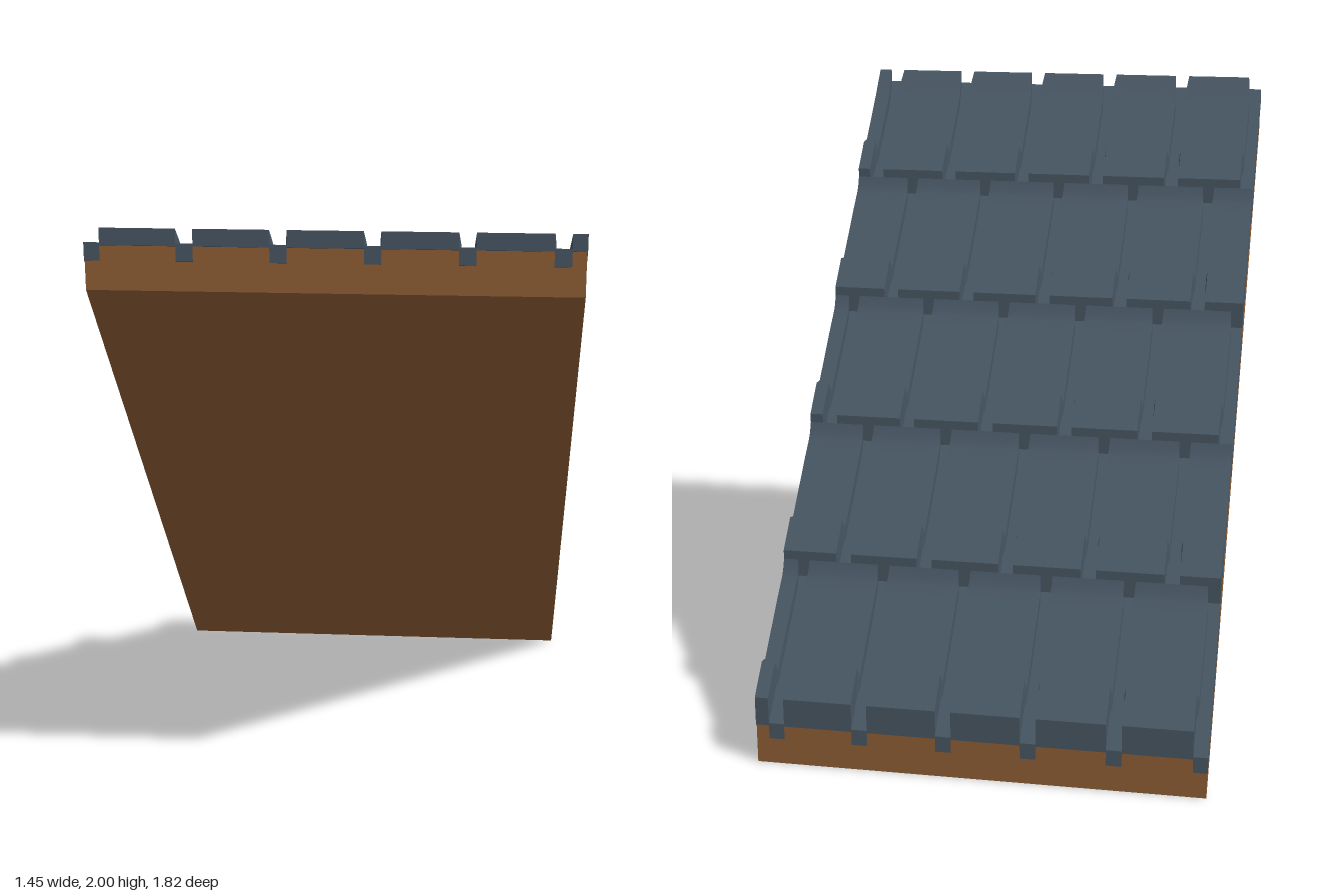
import * as THREE from 'three';
import { toCreasedNormals } from 'three/addons/utils/BufferGeometryUtils.js';

const EDGE = 0.726, HALF = 0.909, ROWS = 5, PITCH = 0.2725;
const ROW = (2 * HALF) / ROWS;

// Moves every vertex by a rule, then leans the part to the 45 degree pitch.
function pitched(geo, rule) {
  const p = geo.attributes.position, v = new THREE.Vector3();
  for (let i = 0; i < p.count; i++) {
    v.fromBufferAttribute(p, i);
    if (rule) rule(v);
    p.setXYZ(i, v.x, v.y + v.z, v.z);
  }
  return toCreasedNormals(geo, 0.45);
}

// Sheared slab between height offsets lo and hi.
function slab(x0, x1, lo, hi, z0, z1) {
  const g = new THREE.BoxGeometry(x1 - x0, hi - lo, z1 - z0);
  g.translate((x0 + x1) / 2, (lo + hi) / 2, (z0 + z1) / 2);
  return pitched(g);
}

// Tile profile from its lower end upwards: [distance, height offset, half gap]
const PROFILE = [
  [0, 1.135, 0.025], [0.086, 1.135, 0.025], [0.098, 1.094, 0.019], [0.28, 1.087, 0.016],
  [0.335, 1.081, 0.016], [0.35, 1.086, 0.018], [ROW, 1.105, 0.02],
];
const TOP_PROFILE = [...PROFILE.slice(0, 4), [0.325, 1.09, 0.02], [ROW, 1.091, 0.025]];

// One tile between two gap centres, cut off at the roof edges.
function tile(left, right, z0, profile) {
  const n = profile.length - 1;
  return pitched(new THREE.BoxGeometry(1, 1, 1, 6, 1, n), (v) => {
    const k = Math.round((v.z + 0.5) * n);
    const [d, top, gap] = profile[k];
    const a = Math.max(left + gap, -EDGE), b = Math.min(right - gap, EDGE);
    const u = v.x * 2;
    v.x = a + (b - a) * (v.x + 0.5);
    // The raised nose has a bowed upper edge.
    const bow = k === 1 || k === 2 ? 0.012 * (1 - u * u) : 0;
    v.z = z0 + d + bow;
    v.y = v.y > 0 ? top : 1.04;
  });
}

export function createModel() {
  const roof = new THREE.Group();
  roof.name = 'roofPanel';
  const wood = new THREE.MeshStandardMaterial({ color: 0x8f5e35 });
  wood.name = 'brown wood';
  const slate = new THREE.MeshStandardMaterial({ color: 0x475663 });
  slate.name = 'slate grey';

  const add = (parent, name, geo, mat) => {
    const m = new THREE.Mesh(geo, mat);
    m.name = name;
    parent.add(m);
  };

  // Wooden deck
  add(roof, 'deck', slab(-EDGE + 0.002, EDGE - 0.002, 0.908, 1.045, -HALF + 0.001, HALF - 0.001), wood);

  // Courses of tiles, every second one shifted by half a tile
  for (let r = 0; r < ROWS; r++) {
    const course = new THREE.Group();
    course.name = `tileCourse${r + 1}`;
    roof.add(course);
    const z0 = -HALF + r * ROW;
    const first = r % 2 ? -0.8415 : -0.705;
    for (let i = -1; i < 7; i++) {
      const x = first + i * PITCH;
      // Sunken gutter under each gap
      if (Math.abs(x) < EDGE) {
        add(course, 'gutter', slab(Math.max(x - 0.025, -EDGE), Math.min(x + 0.025, EDGE),
          0.995, 1.048, z0, z0 + ROW), slate);
      }
      // Tile to the right of this gap
      if (x + PITCH - 0.03 > -EDGE && x + 0.03 < EDGE) {
        add(course, 'tile', tile(x, x + PITCH, z0, r === ROWS - 1 ? TOP_PROFILE : PROFILE), slate);
      }
    }
  }
  return roof;
}
